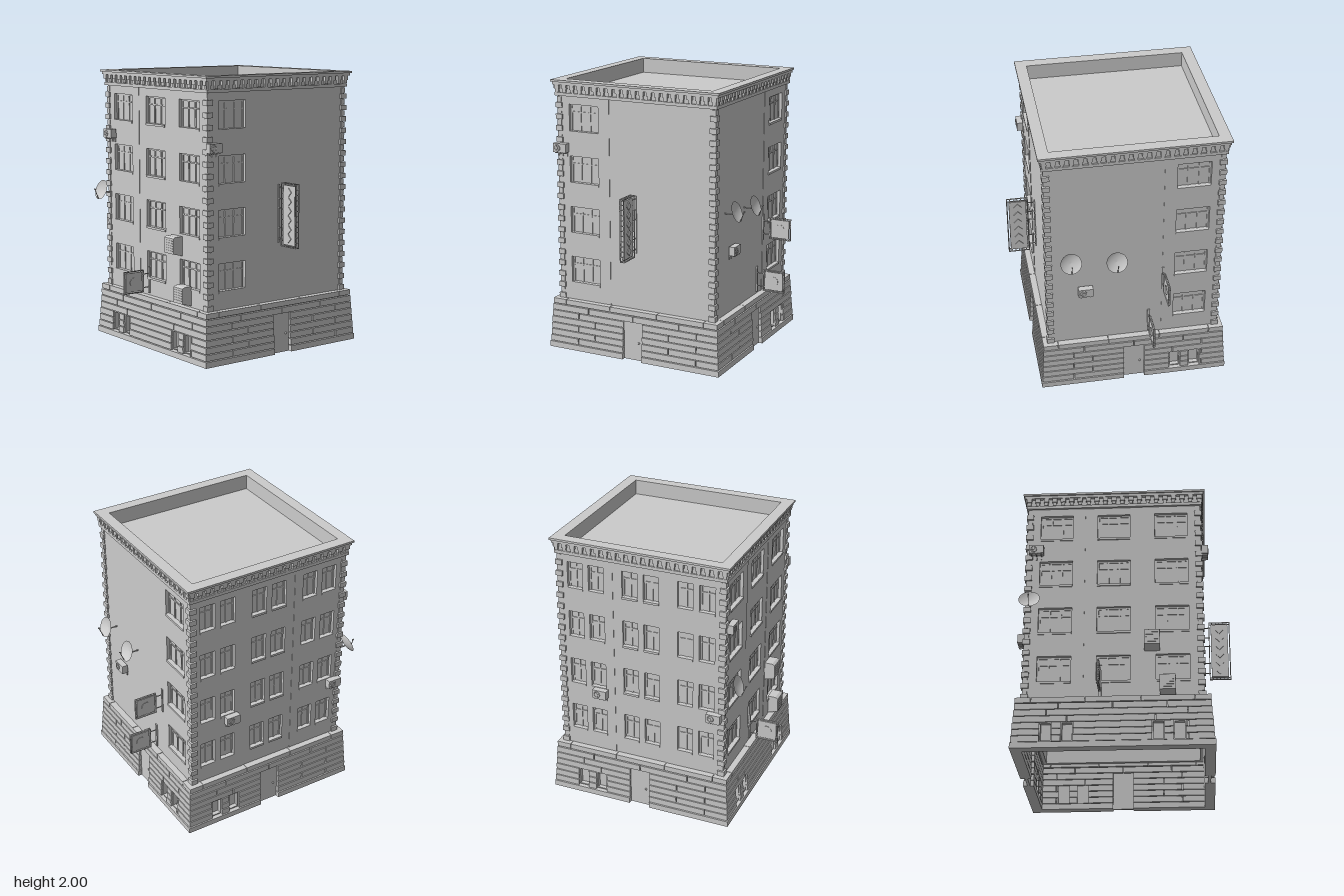
import * as THREE from 'three';

const mat = new THREE.MeshStandardMaterial({ color: 0xcccccc, flatShading: true, side: THREE.DoubleSide });
const smooth = new THREE.MeshStandardMaterial({ color: 0xcccccc, side: THREE.DoubleSide });
const WALL = 0.62, FLOORS = [0.597, 0.973, 1.347, 1.723];

function add(parent, name, geo, x = 0, y = 0, z = 0, m = mat) {
  const mesh = new THREE.Mesh(geo, m);
  mesh.name = name;
  mesh.position.set(x, y, z);
  parent.add(mesh);
  return mesh;
}
const box = (p, name, w, h, d, x, y, z) => add(p, name, new THREE.BoxGeometry(w, h, d), x, y, z);
function sub(parent, name, x = 0, y = 0, z = 0) {
  const g = new THREE.Group();
  g.name = name;
  g.position.set(x, y, z);
  parent.add(g);
  return g;
}
function rod(p, name, r, len, x, y, z) { // rod along z, starting at z
  add(p, name, new THREE.CylinderGeometry(r, r, len, 8), x, y, z + len / 2, smooth).rotation.x = Math.PI / 2;
}
function rect(target, x0, y0, x1, y1) {
  target.moveTo(x0, y0).lineTo(x1, y0).lineTo(x1, y1).lineTo(x0, y1).closePath();
  return target;
}
// Upright panel with rectangular holes [x0, y0, x1, y1], outer face at z
function panel(p, name, r, holes, z, depth) {
  const s = rect(new THREE.Shape(), ...r);
  for (const h of holes) s.holes.push(rect(new THREE.Path(), ...h));
  add(p, name, new THREE.ExtrudeGeometry(s, { depth, bevelEnabled: false }), 0, 0, z - depth);
}
// Horizontal square ring
function ring(p, name, outer, inner, y0, y1) {
  const s = rect(new THREE.Shape(), -outer, -outer, outer, outer);
  s.holes.push(rect(new THREE.Path(), -inner, -inner, inner, inner));
  const g = new THREE.ExtrudeGeometry(s, { depth: y1 - y0, bevelEnabled: false });
  add(p, name, g.rotateX(-Math.PI / 2), 0, y0, 0);
}

// Recessed window; its frame shows on both faces of the glass
function windowUnit(p, x, y, w, h, lights) {
  const g = sub(p, 'window', x, y, WALL - 0.028), f = 0.012, d = 0.02;
  box(g, 'glass', w, h, 0.004, 0, 0, 0);
  for (const s of [-1, 1]) {
    box(g, 'frameSide', f, h, d, s * (w - f) / 2, 0, -0.002);
    box(g, 'frameRail', w, f, d, 0, s * (h - f) / 2, -0.002);
  }
  for (let i = 1; i < lights; i++) box(g, 'mullion', f, h, d, -w / 2 + w * i / lights, 0, -0.002);
  box(g, 'transom', w, f * 0.8, d, 0, h * 0.22, -0.002);
  box(g, 'sill', w, 0.016, 0.04, 0, -h / 2 + 0.008, 0.016);
}

// Satellite dish on a wall arm, tilted upwards
function dish(p, u, y) {
  const g = sub(p, 'satelliteDish', u, y, WALL);
  rod(g, 'wallArm', 0.005, 0.075, 0, -0.015, 0);
  const d = sub(g, 'dishHead', 0, 0, 0.075);
  d.rotation.x = -0.35;
  const pts = [0, 0.025, 0.05, 0.065, 0.075].map(r => new THREE.Vector2(r, r * r * 3.6));
  add(d, 'bowl', new THREE.LatheGeometry(pts, 24), 0, 0, 0, smooth).rotation.x = Math.PI / 2;
  const feed = new THREE.LineCurve3(new THREE.Vector3(0, -0.073, 0.02), new THREE.Vector3(0, -0.012, 0.075));
  add(d, 'feedArm', new THREE.TubeGeometry(feed, 1, 0.003, 6), 0, 0, 0, smooth);
  rod(d, 'feedHorn', 0.005, 0.014, 0, -0.012, 0.066);
}

// Small outdoor unit with fan and bracket legs
function airUnit(p, u, y) {
  const g = sub(p, 'airConditioner', u, y, WALL);
  box(g, 'casing', 0.105, 0.065, 0.045, 0, 0, 0.032);
  add(g, 'fanRing', new THREE.TorusGeometry(0.022, 0.003, 6, 20), -0.018, 0, 0.055, smooth);
  rod(g, 'fanHub', 0.008, 0.006, -0.018, 0, 0.053);
  for (let i = 0; i < 3; i++) {
    const a = i * Math.PI / 3;
    box(g, 'fanBlade', 0.042, 0.004, 0.003, -0.018, 0, 0.055).rotation.z = a;
    box(g, 'bracket', 0.008, 0.008, 0.05, -0.035 + i * 0.035, -0.037, 0.025);
    box(g, 'bracketLeg', 0.008, 0.03, 0.008, -0.035 + i * 0.035, -0.05, 0.006);
  }
}

// Larger window unit with sloping underside
function windowAirUnit(p, u, y) {
  const s = new THREE.Shape();
  s.moveTo(0, 0.065).lineTo(0.06, 0.065).lineTo(0.08, 0.055).lineTo(0.08, -0.055).lineTo(0, -0.075).closePath();
  const geo = new THREE.ExtrudeGeometry(s, { depth: 0.11, bevelEnabled: false });
  geo.translate(0, 0, -0.055).rotateY(-Math.PI / 2);
  const g = sub(p, 'windowAirConditioner', u, y, WALL);
  add(g, 'casing', geo);
  for (let i = 0; i < 5; i++) box(g, 'louvre', 0.085, 0.006, 0.006, 0, -0.035 + i * 0.018, 0.08);
}

// Board floating inside an open frame of paired rails, held off the wall by arms
function board(p, name, u, y, z0, w, h, t, gap, arms) {
  const g = sub(p, name, u, y, z0 + w / 2), r = 0.006;
  box(g, 'boardPanel', t * 0.6, h - gap * 2, w - gap * 2, 0, 0, 0);
  for (const s of [-1, 1]) {
    for (const e of [-1, 1]) {
      const x = e * (t - r) / 2;
      box(g, 'frameRail', r, r, w, x, s * (h - r) / 2, 0);
      box(g, 'framePost', r, h, r, x, 0, s * (w - r) / 2);
      box(g, 'panelTie', r, gap, r, 0, s * (h - gap) / 2, e * w * 0.35);
    }
    for (let i = 0; i <= 12; i++) box(g, 'postRung', t, 0.005, r, 0, (i / 6 - 1) * (h - r) / 2, s * (w - r) / 2);
    for (let i = 1; i < 6; i++) box(g, 'railRung', t, r, 0.005, 0, s * (h - r) / 2, (i / 3 - 1) * w / 2);
  }
  for (const a of arms) rod(g, 'arm', 0.004, z0 - WALL + 0.01, 0, a, -w / 2 - (z0 - WALL));
  return g;
}
function sideSign(p, u, y) {
  const g = board(p, 'hangingSign', u, y, 0.677, 0.168, 0.165, 0.016, 0.013, [-0.05, 0.05]);
  box(g, 'wallBar', 0.018, 0.195, 0.012, 0, 0, -0.137);
  add(g, 'roundOrnament', new THREE.CylinderGeometry(0.035, 0.035, 0.016, 20)).rotation.z = Math.PI / 2;
}

// Rusticated base: stone courses interrupted by openings
function baseSide(p, door, cellars) {
  const openings = cellars.flatMap(c => [-1, 1].map(s => [c + s * 0.0725 - 0.042, 0.05, c + s * 0.0725 + 0.042, 0.19]));
  const gaps = [...openings];
  if (door) gaps.push([-0.077, 0, 0.077, 0.285]);
  panel(p, 'baseWall', [-0.655, 0, 0.655, 0.37], openings, 0.652, 0.012);
  function course(name, y0, y1, out, joints, gap) {
    const cuts = gaps.filter(o => o[1] < y1 - 0.012 && o[3] > y0 + 0.012);
    const edges = [-out, ...joints, out];
    for (let i = 0; i < edges.length - 1; i++) {
      let spans = [[edges[i] + (i ? gap : 0), edges[i + 1] - (i < edges.length - 2 ? gap : 0)]];
      for (const c of cuts) spans = spans.flatMap(([a, b]) => [[a, Math.min(b, c[0])], [Math.max(a, c[2]), b]]).filter(s => s[1] - s[0] > 0.004);
      for (const [a, b] of spans) box(p, name, b - a, y1 - y0, out - 0.615, (a + b) / 2, (y0 + y1) / 2, (out + 0.615) / 2);
    }
  }
  course('plinth', 0, 0.042, 0.692, [], 0);
  for (let i = 0; i < 6; i++) {
    const j = i % 2 ? [-0.31, 0.29] : [-0.45, 0.51];
    course('stoneCourse', 0.047 + i * 0.048, 0.09 + i * 0.048, 0.686 - i * 0.003, i === 5 ? [-0.37, 0, 0.37] : j, 0.003);
  }
  course('baseCap', 0.337, 0.375, 0.668, [-0.56, -0.19, 0.19, 0.56], 0.002);
  for (const [x0, y0, x1, y1] of openings) {
    const x = (x0 + x1) / 2, y = (y0 + y1) / 2;
    box(p, 'cellarGlass', 0.084, 0.14, 0.006, x, y, 0.635);
    for (const s of [-1, 1]) {
      box(p, 'cellarJamb', 0.008, 0.14, 0.035, x + s * 0.038, y, 0.652);
      box(p, 'cellarRail', 0.084, 0.008, 0.035, x, y + s * 0.066, 0.652);
    }
  }
  if (door) {
    const g = sub(p, 'door', 0, 0.143, 0.655);
    box(g, 'leaf', 0.154, 0.286, 0.012, 0, 0, 0);
    add(g, 'knob', new THREE.SphereGeometry(0.008, 10, 8), 0.045, -0.008, 0.01, smooth);
  }
}

// One facade: kinds gives each bay as 'blank', 'wide' or 'pair'
function facade(root, name, turn, kinds, door, cellars) {
  const g = sub(root, name);
  g.rotation.y = turn;
  baseSide(g, door, cellars);
  kinds.forEach((kind, i) => {
    const c = (i - 1) * 0.413, holes = [];
    const units = kind === 'wide' ? [[c, 0.236, 3]] : kind === 'pair' ? [[c - 0.08, 0.115, 2], [c + 0.08, 0.115, 2]] : [];
    for (const [x, w, n] of units) for (const y of FLOORS) {
      holes.push([x - w / 2, y - 0.104, x + w / 2, y + 0.104]);
      windowUnit(g, x, y, w, 0.208, n);
    }
    const proud = kind !== 'blank' && i !== 1 ? 0.003 : 0; // slight step between bays
    panel(g, 'wallBay', [c - 0.2065, 0.36, c + 0.2065, 1.9], holes, WALL + proud, 0.032 + proud);
  });
  for (let i = 0; i < 21; i++) { // cornice brackets
    const x = -0.62 + i * 0.062;
    box(g, 'corniceBracket', 0.036, 0.03, 0.036, x, 1.95, 0.63);
    box(g, 'corniceBracketFoot', 0.026, 0.025, 0.026, x, 1.923, 0.628);
  }
  return g;
}

export function createModel() {
  const root = new THREE.Group();
  root.name = 'apartmentBuilding';
  const b = sub(root, 'building', 0, 0, -0.068);
  const front = facade(b, 'frontFacade', 0, ['wide', 'blank', 'blank'], true, []);
  const right = facade(b, 'eastFacade', Math.PI / 2, ['blank', 'blank', 'wide'], true, [0.38]);
  const back = facade(b, 'backFacade', Math.PI, ['pair', 'pair', 'pair'], true, [-0.38]);
  const left = facade(b, 'westFacade', -Math.PI / 2, ['wide', 'wide', 'wide'], false, [-0.38, 0.38]);

  // Corner quoins, alternating large and small
  for (const sx of [-1, 1]) for (const sz of [-1, 1]) for (let i = 0; i < 36; i++) {
    const w = i % 2 ? 0.034 : 0.052, o = (i % 2 ? 0.627 : 0.636) - w / 2;
    box(b, 'quoin', w, 0.037, w, sx * o, 0.396 + i * 0.0418, sz * o);
  }

  // Cornice, parapet and sunken roof
  ring(b, 'corniceBand', 0.639, 0.6, 1.885, 1.908);
  ring(b, 'parapet', 0.628, 0.58, 1.885, 1.99);
  ring(b, 'corniceShelf', 0.652, 0.6, 1.965, 1.985);
  ring(b, 'corniceTop', 0.662, 0.58, 1.985, 2);
  box(b, 'roof', 1.2, 0.01, 1.2, 0, 1.885, 0);

  // Front fittings: tall projecting sign with diamond plates on both faces
  const tall = board(front, 'tallSign', 0.005, 1.007, 0.672, 0.157, 0.457, 0.036, 0.016, [-0.18, -0.1, 0.04, 0.11, 0.19]);
  box(tall, 'wallBar', 0.012, 0.42, 0.008, 0, 0, -0.125);
  for (let i = 0; i < 6; i++) {
    add(tall, 'diamondPlate', new THREE.CylinderGeometry(0.03, 0.03, 0.034, 4), 0, -0.165 + i * 0.066, 0).rotation.z = Math.PI / 2;
  }
  airUnit(front, -0.588, 1.512);

  // Fittings on the other walls
  dish(right, -0.46, 1.14);
  dish(right, -0.137, 1.11);
  airUnit(right, -0.352, 0.837);
  sideSign(right, 0.213, 0.863);
  sideSign(right, 0.113, 0.487);
  airUnit(back, -0.31, 0.85);
  airUnit(back, 0.56, 0.85);
  dish(left, -0.588, 1.1);
  airUnit(left, -0.555, 1.53);
  windowAirUnit(left, 0.27, 0.8);
  windowAirUnit(left, 0.375, 0.46);
  sideSign(left, -0.09, 0.487);
  return root;
}
